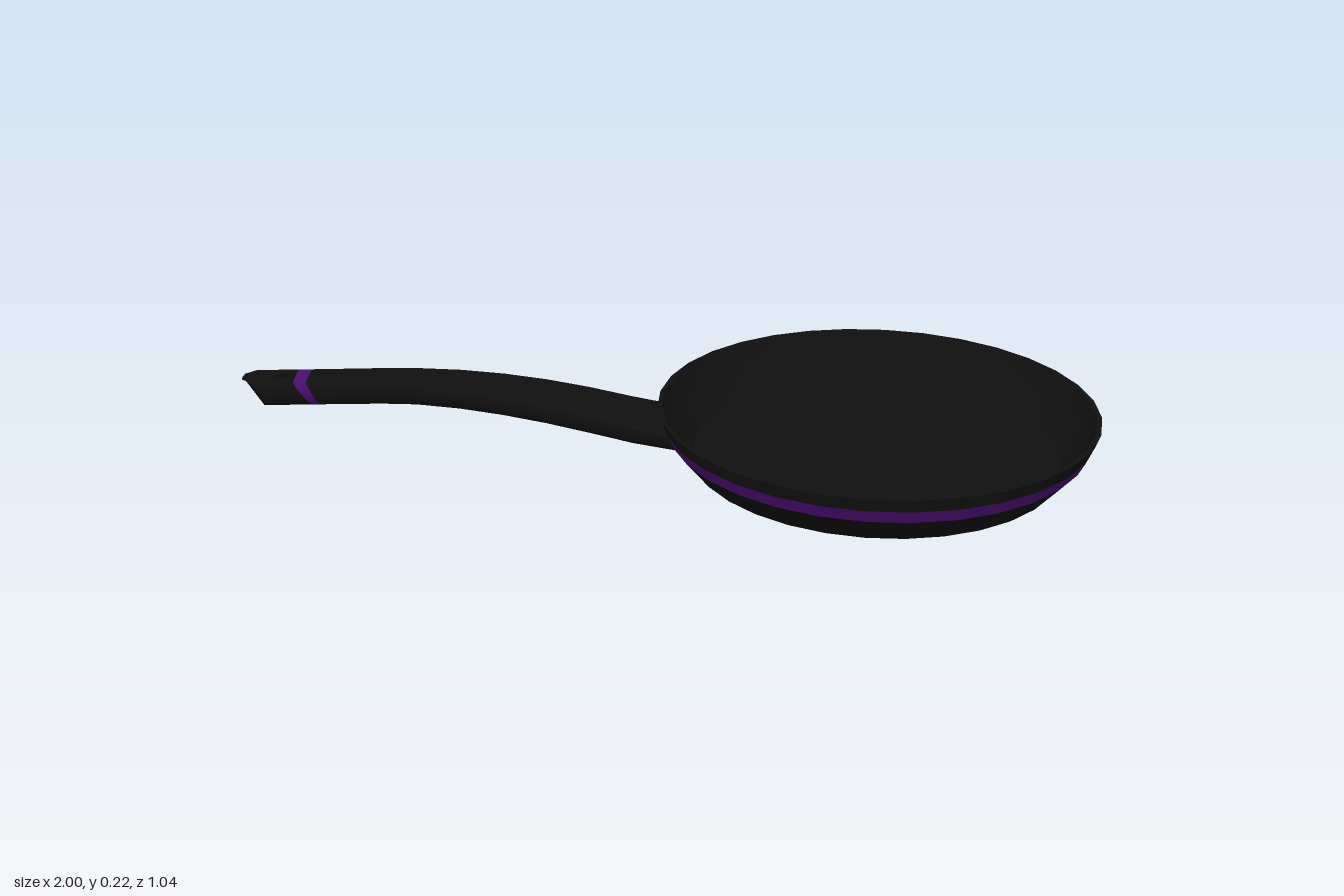
import * as THREE from 'three';
import { toCreasedNormals } from 'three/addons/utils/BufferGeometryUtils.js';

const black = new THREE.MeshStandardMaterial({ color: 0x101010 });
const purple = new THREE.MeshStandardMaterial({ color: 0x4a0d70 });

// Half cross-section of the handle: [fraction of half-width, fraction of height]
const HALF = [[0, 1], [0.4, 1], [0.9, 1], [1, 0.85], [1, 0.5], [0.85, 0.15], [0.55, 0], [0, 0]];

// Stations along the handle: x, bottom, top, half-width,
// slant (how far the underside leads), sweep (how far the sides lead), hole half-width
const STATIONS = [
  [-1.0, 0.16, 0.222, 0.045, 0.04, 0.045, 0],
  [-0.927, 0.16, 0.222, 0.045, 0, 0.01, 0],
  [-0.905, 0.16, 0.222, 0.045, 0, 0, 0.02],
  [-0.884, 0.16, 0.222, 0.045, 0, 0, 0],
  [-0.878, 0.16, 0.222, 0.045, 0.04, 0, 0],
  [-0.848, 0.16, 0.222, 0.045, 0.028, 0, 0],
  [-0.68, 0.16, 0.222, 0.047, 0, 0, 0],
  [-0.6, 0.158, 0.219, 0.052, 0, 0, 0],
  [-0.5, 0.148, 0.21, 0.061, 0, 0, 0],
  [-0.4, 0.132, 0.196, 0.069, 0, 0, 0],
  [-0.3, 0.112, 0.177, 0.077, 0, 0, 0],
  [-0.2, 0.089, 0.153, 0.085, 0, 0, 0],
  [-0.1, 0.065, 0.125, 0.093, 0, 0, 0],
  [-0.028, 0.045, 0.105, 0.099, 0.035, 0.012, 0],
];

function stationPoints([x, bottom, top, w, slant, sweep, hole]) {
  return HALF.map(([z, t]) => [
    x + slant * (1 - t) + sweep * Math.max(0, z - 0.35),
    bottom + (top - bottom) * t,
    Math.max(z * w, hole),
  ]);
}

// Skin one half of the handle between two stations
function halfHandle(from, to, capped) {
  const stations = STATIONS.slice(from, to + 1);
  const rings = stations.map(stationPoints);
  const n = HALF.length;
  const pos = [];
  const tri = (a, b, c) => pos.push(...a, ...b, ...c);
  for (let i = 0; i < rings.length - 1; i++) {
    const a = rings[i], b = rings[i + 1];
    // the last strip lines the hanging hole
    const strips = stations[i][6] || stations[i + 1][6] ? n : n - 1;
    for (let j = 0; j < strips; j++) {
      const k = (j + 1) % n;
      tri(a[j], a[k], b[j]);
      tri(a[k], b[k], b[j]);
    }
  }
  if (capped) {
    for (let j = 1; j < n - 1; j++) tri(rings[0][0], rings[0][j + 1], rings[0][j]);
  }
  const geometry = new THREE.BufferGeometry();
  geometry.setAttribute('position', new THREE.Float32BufferAttribute(pos, 3));
  return toCreasedNormals(geometry, 0.75);
}

function handlePart(name, from, to, material, capped = false) {
  const part = new THREE.Group();
  part.name = name;
  const geometry = halfHandle(from, to, capped);
  for (const side of [1, -1]) {
    const mesh = new THREE.Mesh(geometry, material);
    mesh.name = name + (side > 0 ? 'Front' : 'Back');
    mesh.scale.z = side;
    part.add(mesh);
  }
  return part;
}

function panPart(name, profile, material) {
  const points = profile.map(([r, y]) => new THREE.Vector2(r, y));
  const mesh = new THREE.Mesh(toCreasedNormals(new THREE.LatheGeometry(points, 32), 0.5), material);
  mesh.name = name;
  return mesh;
}

export function createModel() {
  const model = new THREE.Group();
  model.name = 'fryingPan';

  // Round pan body
  const pan = new THREE.Group();
  pan.name = 'pan';
  pan.position.x = 0.48;
  pan.add(
    panPart('base', [[0, 0], [0.44, 0], [0.495, 0.066]], black),
    panPart('colourBand', [[0.495, 0.066], [0.51, 0.098]], purple),
    panPart('rim', [[0.51, 0.098], [0.52, 0.13], [0.509, 0.13]], black),
    panPart('cookingSurface', [[0.509, 0.13], [0.485, 0.068], [0.435, 0.015], [0, 0.015]], black),
  );
  model.add(pan);

  // Curved handle with a hanging hole and a coloured stripe
  const handle = new THREE.Group();
  handle.name = 'handle';
  handle.add(
    handlePart('handleTip', 0, 4, black, true),
    handlePart('handleStripe', 4, 5, purple),
    handlePart('grip', 5, STATIONS.length - 1, black),
  );
  model.add(handle);

  return model;
}
